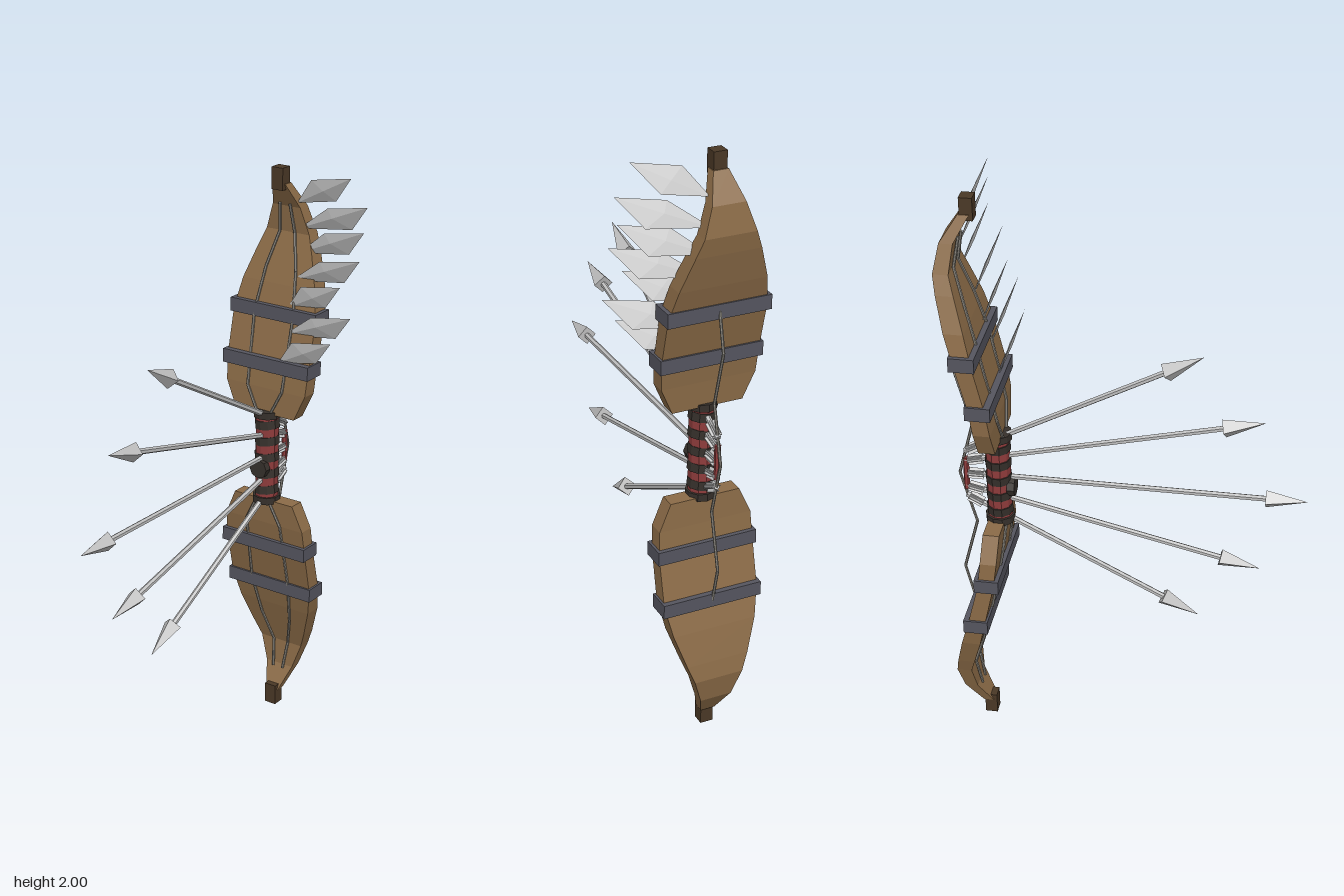
import * as THREE from 'three';

const mat = (name, color) => {
  const m = new THREE.MeshStandardMaterial({ color, flatShading: true, side: THREE.DoubleSide });
  m.name = name;
  return m;
};
const CX = -0.08; // the bow's own centre line

export function createModel() {
  const wood = mat('wood', 0x8b6b47), darkWood = mat('darkWood', 0x4a3826);
  const iron = mat('iron', 0x55555f), red = mat('redWrap', 0x8e3b3b);
  const dark = mat('darkWrap', 0x36302b), steel = mat('steel', 0xbdbdbd);
  const feather = mat('feather', 0xd0d0d0), cord = mat('cord', 0x86827a);

  const model = new THREE.Group();
  model.name = 'bow';
  const add = (name, geo, m, x = 0, y = 0, z = 0, parent = model) => {
    const mesh = new THREE.Mesh(geo, m);
    mesh.name = name;
    mesh.position.set(x, y, z);
    parent.add(mesh);
    return mesh;
  };
  const V = (x, y, z) => new THREE.Vector3(x, y, z);

  // solid lofted through rings of equal point count, capped at both ends
  const loft = (rings) => {
    const n = rings[0].length, idx = [];
    for (let i = 0; i < rings.length - 1; i++)
      for (let j = 0; j < n; j++) {
        const a = i * n + j, b = i * n + (j + 1) % n;
        idx.push(a, b, b + n, a, b + n, a + n);
      }
    const e = (rings.length - 1) * n;
    for (let j = 1; j < n - 1; j++) idx.push(0, j + 1, j, e, e + j, e + j + 1);
    const g = new THREE.BufferGeometry().setFromPoints(rings.flat());
    g.setIndex(idx);
    g.computeVertexNormals();
    return g;
  };
  // straight rod between two points
  const rod = (name, a, b, r, m, sides = 6, parent = model) => {
    const d = b.clone().sub(a);
    const mesh = add(name, new THREE.CylinderGeometry(r, r, d.length(), sides), m, 0, 0, 0, parent);
    mesh.position.copy(a).add(b).multiplyScalar(0.5);
    mesh.quaternion.setFromUnitVectors(V(0, 1, 0), d.normalize());
    return mesh;
  };

  // limb sections: height above the middle, half width, front z, back z
  const limb = [
    [0.16, 0.12, -0.405, -0.46], [0.25, 0.16, -0.41, -0.465], [0.34, 0.165, -0.422, -0.475],
    [0.5, 0.165, -0.458, -0.515], [0.6, 0.145, -0.482, -0.545], [0.71, 0.108, -0.515, -0.572],
    [0.77, 0.085, -0.533, -0.583], [0.86, 0.055, -0.522, -0.566], [0.945, 0.025, -0.475, -0.51],
  ];
  for (const s of [1, -1]) {
    const side = s > 0 ? 'upper' : 'lower';
    const rings = limb.map(([h, w, f, b]) => {
      const p = [V(CX - w, 1 + s * h, f), V(CX - w, 1 + s * h, b), V(CX + w, 1 + s * h, b), V(CX + w, 1 + s * h, f)];
      return s > 0 ? p.reverse() : p;
    });
    add(side + 'Limb', loft(rings), wood);
    add(side + 'Tip', new THREE.BoxGeometry(0.044, 0.075, 0.042), darkWood, CX, 1 + s * 0.9625, -0.485);

    // iron clamps
    for (const [h, z] of [[0.507, -0.488], [0.335, -0.445]])
      add(side + 'Clamp', new THREE.BoxGeometry(0.345, 0.048, 0.082), iron, CX, 1 + s * h, z);

    // cords running along the front of the limb
    for (const k of [-1, 1]) {
      const pts = [[0.03, 0.17, -0.4], [0.07, 0.25, -0.405], [0.078, 0.5, -0.453], [0.06, 0.65, -0.493],
        [0.03, 0.77, -0.529], [0.02, 0.87, -0.512]].map(([x, h, z]) => V(CX + k * x, 1 + s * h, z));
      pts.slice(1).forEach((p, i) => rod(side + 'FrontCord', pts[i], p, 0.005, cord));
    }
    // slack string behind the bow
    const back = [[0, -0.555], [0.19, -0.505], [0.38, -0.555], [0.53, -0.52]].map(([h, z]) => V(CX, 1 + s * h, z));
    back.slice(1).forEach((p, i) => rod(side + 'String', back[i], p, 0.005, cord));
  }

  // grip with alternating wraps
  add('gripCore', new THREE.CylinderGeometry(0.041, 0.041, 0.34, 10), red, CX, 1, -0.425);
  for (let i = 0; i < 5; i++) {
    const wrap = add('gripWrap', new THREE.CylinderGeometry(0.044, 0.044, 0.03, 10), dark, CX, 0.88 + i * 0.06, -0.425);
    wrap.rotation.z = 0.1;
  }
  for (const y of [0.842, 1.158])
    add('gripCollar', new THREE.CylinderGeometry(0.049, 0.049, 0.025, 10), dark, CX, y, -0.425);
  add('gripKnot', new THREE.CylinderGeometry(0.035, 0.035, 0.025, 8).rotateX(Math.PI / 2), dark, CX, 0.965, -0.382);
  add('stringGrip', new THREE.CylinderGeometry(0.01, 0.01, 0.12, 6), red, CX, 1, -0.533);

  // fan of arrows
  const arrows = [[1.505, 0.24, 1.085], [1.285, 0.44, 1.048], [1, 0.585, 1], [0.72, 0.44, 0.952], [0.505, 0.24, 0.915]];
  for (const [y, z, tailY] of arrows) {
    const tip = V(CX, y, z), tail = V(CX, tailY, -0.535);
    const dir = tip.clone().sub(tail).normalize();
    const arrow = new THREE.Group();
    arrow.name = 'arrow';
    model.add(arrow);
    arrow.position.copy(tip);
    arrow.quaternion.setFromUnitVectors(V(0, 1, 0), dir);
    const len = tip.distanceTo(tail);
    add('arrowShaft', new THREE.CylinderGeometry(0.01, 0.01, len - 0.1, 6), steel, 0, -(len + 0.1) / 2, 0, arrow);
    add('arrowHead', new THREE.ConeGeometry(0.033, 0.135, 4), steel, 0, -0.0675, 0, arrow);
    for (let i = 0; i < 3; i++) {
      const vane = add('arrowVane', new THREE.BoxGeometry(0.036, 0.05, 0.003), feather, 0, 0.035 - len, 0, arrow);
      vane.rotation.y = i * Math.PI / 3;
    }
  }

  // row of feathers on the upper limb: tip x, y, z
  const tips = [[0.195, 2, -0.48], [0.25, 1.91, -0.495], [0.24, 1.825, -0.495], [0.25, 1.74, -0.455],
    [0.195, 1.65, -0.43], [0.25, 1.56, -0.41], [0.195, 1.47, -0.38]];
  for (const [x, y, z] of tips) {
    const root = V(-0.04, y - 0.125, z - 0.045), end = V(x, y, z);
    const top = V(x - 0.16, y - 0.03, z - 0.012), low = V(x - 0.08, y - 0.095, z - 0.04);
    const mid = root.clone().lerp(end, 0.5);
    const ring = [root, low, end, top];
    const pts = [];
    for (const t of [0.006, -0.006]) {
      const peak = mid.clone().add(V(0, 0, t));
      ring.forEach((p, i) => {
        const q = ring[(i + 1) % 4];
        pts.push(...(t > 0 ? [p, q, peak] : [q, p, peak]));
      });
    }
    const g = new THREE.BufferGeometry().setFromPoints(pts);
    g.computeVertexNormals();
    add('feather', g, feather);
  }
  return model;
}
